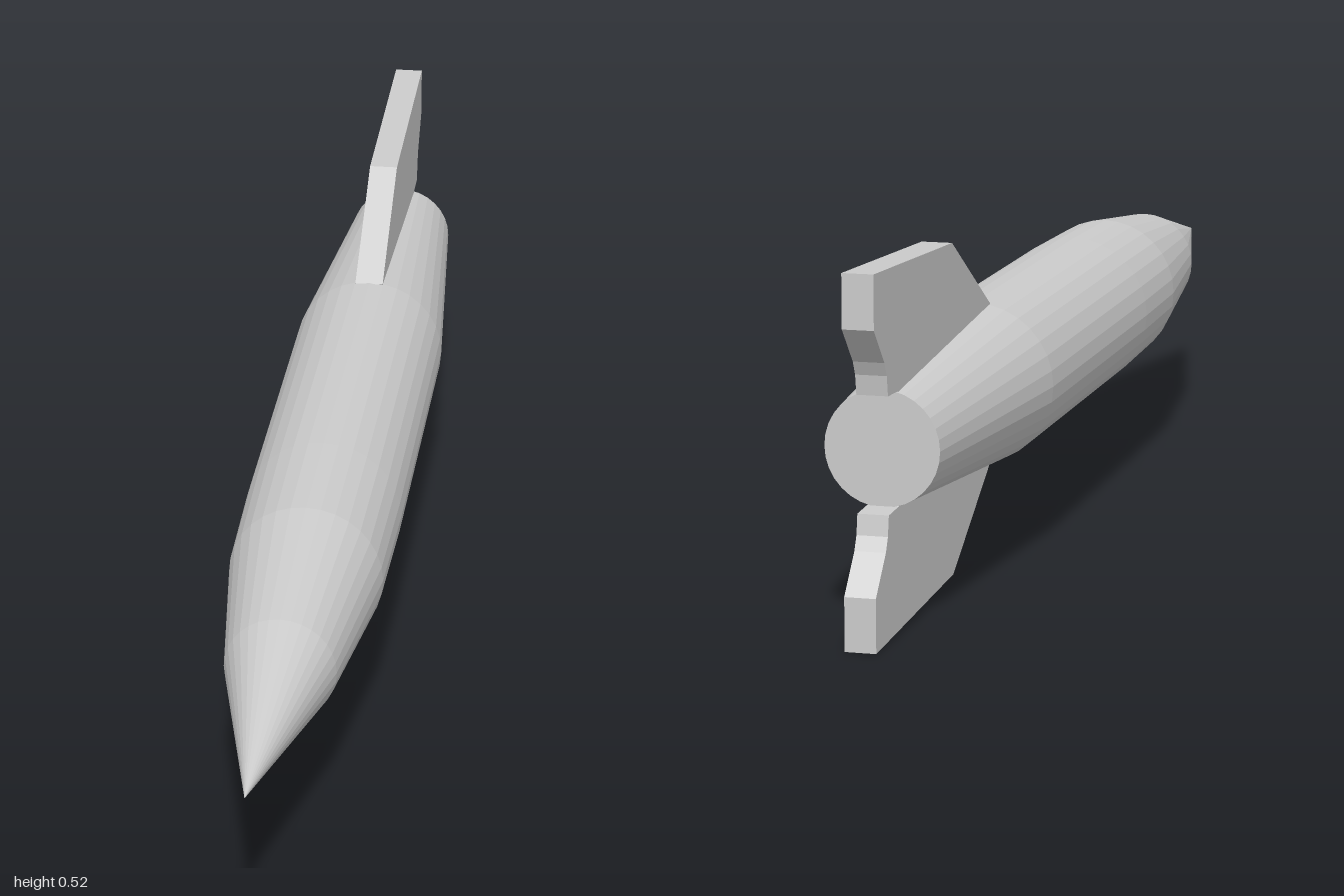
import * as THREE from 'three';

const AXIS_Y = 0.262; // height of the rocket's long axis
const FIN_THICKNESS = 0.045;

const toPoints = (list) => list.map(([a, b]) => new THREE.Vector2(a, b));

export function createModel() {
  const model = new THREE.Group();
  model.name = 'rocket';
  const material = new THREE.MeshStandardMaterial({ color: 0xcccccc, flatShading: true });

  // Fuselage: [radius, z] from the flat tail to the pointed nose
  const profile = toPoints([
    [0, -0.893], [0.083, -0.893], [0.12, -0.425], [0.12, 0.16],
    [0.116, 0.365], [0.082, 0.645], [0, 1],
  ]);
  const bodyGeometry = new THREE.LatheGeometry(profile, 32).rotateX(Math.PI / 2);
  const body = new THREE.Mesh(bodyGeometry, material);
  body.name = 'fuselage';
  body.position.y = AXIS_Y;
  model.add(body);

  // Fin outline: [z, distance from axis], root sunk into the fuselage
  const outline = new THREE.Shape(toPoints([
    [-0.42, 0.119], [-0.62, 0.242], [-1, 0.262], [-1, 0.185],
    [-0.952, 0.132], [-0.942, 0.112], [-0.937, 0.083],
    [-0.89, 0.081], [-0.88, 0.06], [-0.44, 0.09],
  ]));
  const finGeometry = new THREE.ExtrudeGeometry(outline, { depth: FIN_THICKNESS, bevelEnabled: false })
    .translate(0, 0, -FIN_THICKNESS / 2)
    .rotateY(-Math.PI / 2);

  // Upper and lower tail fins
  ['upperFin', 'lowerFin'].forEach((name, i) => {
    const fin = new THREE.Mesh(finGeometry, material);
    fin.name = name;
    fin.position.y = AXIS_Y;
    fin.rotation.z = i * Math.PI;
    model.add(fin);
  });

  return model;
}
